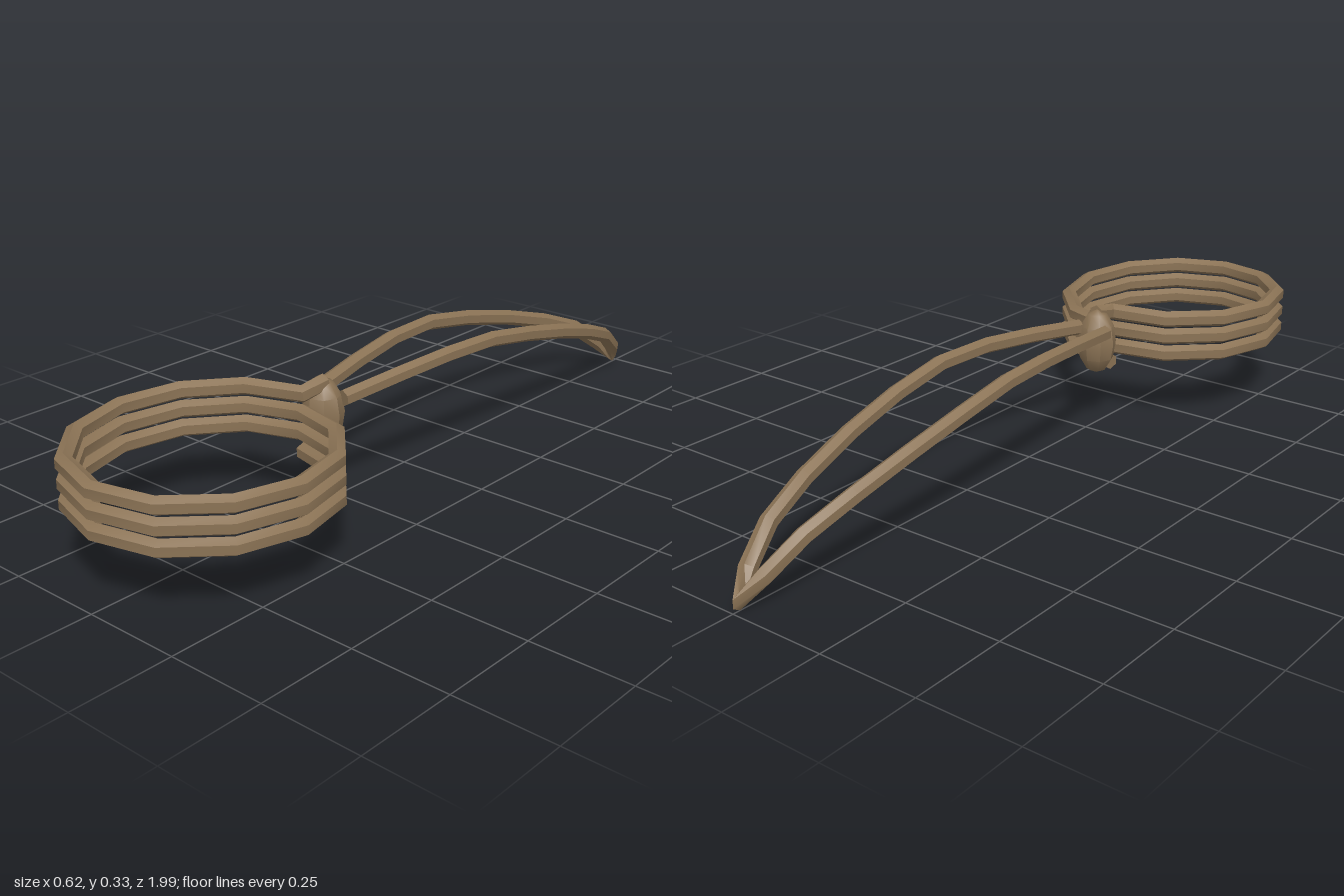
import * as THREE from 'three';
import { toCreasedNormals } from 'three/addons/utils/BufferGeometryUtils.js';

const SIDES = 6;

// Six-sided rope swept along straight segments between points, capped at both ends
function ropeGeometry(points, radius) {
  const pos = [], index = [];
  const up = new THREE.Vector3(0, 1, 0);
  const last = points.length - 1;
  points.forEach((p, i) => {
    const before = p.clone().sub(points[Math.max(i - 1, 0)]).normalize();
    const after = points[Math.min(i + 1, last)].clone().sub(p).normalize();
    const tangent = before.add(after).normalize();
    const side = tangent.clone().cross(up).normalize();
    const rise = side.clone().cross(tangent).normalize();
    for (let k = 0; k < SIDES; k++) {
      const a = Math.PI / 6 + (k / SIDES) * Math.PI * 2;
      const v = p.clone()
        .addScaledVector(side, Math.cos(a) * radius)
        .addScaledVector(rise, Math.sin(a) * radius);
      pos.push(v.x, v.y, v.z);
    }
  });
  for (let i = 0; i < last; i++) {
    for (let k = 0; k < SIDES; k++) {
      const n = (k + 1) % SIDES;
      const a = i * SIDES + k, b = i * SIDES + n;
      const c = b + SIDES, d = a + SIDES;
      index.push(a, d, c, a, c, b);
    }
  }
  const e = last * SIDES;
  for (let k = 1; k < SIDES - 1; k++) {
    index.push(0, k, k + 1, e, e + k + 1, e + k);
  }
  const g = new THREE.BufferGeometry();
  g.setAttribute('position', new THREE.Float32BufferAttribute(pos, 3));
  g.setIndex(index);
  return toCreasedNormals(g, 0.72);
}

export function createModel() {
  const group = new THREE.Group();
  const rope = new THREE.MeshStandardMaterial({ color: 0x8b7355 });
  rope.name = 'ropeBrown';

  const add = (name, geometry) => {
    const mesh = new THREE.Mesh(geometry, rope);
    mesh.name = name;
    group.add(mesh);
    return mesh;
  };

  // Three descending turns, starting inside the knot at the back
  const turns = 3, perTurn = 12;
  const coil = [new THREE.Vector3(0.005, 0.311, 0.295)];
  for (let i = 0; i <= turns * perTurn; i++) {
    const a = (i / perTurn) * Math.PI * 2;
    coil.push(new THREE.Vector3(
      -Math.sin(a) * 0.289,
      0.3 - (i / (turns * perTurn)) * 0.143,
      0.667 - Math.cos(a) * 0.304
    ));
  }
  add('coil', ropeGeometry(coil, 0.022));

  // Long drooping loop, one half mirrored to the other
  const half = [
    [0.042, 0.272, 0.27], [0.07, 0.29, 0.1], [0.092, 0.302, -0.06],
    [0.103, 0.3, -0.22], [0.102, 0.272, -0.38], [0.092, 0.232, -0.55],
    [0.075, 0.185, -0.71], [0.053, 0.135, -0.84], [0.026, 0.07, -0.93]
  ].map(([x, y, z]) => new THREE.Vector3(x, y, z));
  const mirrored = half.map(p => new THREE.Vector3(-p.x, p.y, p.z)).reverse();
  const tip = new THREE.Vector3(0, 0.023, -0.98);
  add('loop', ropeGeometry([...half, tip, ...mirrored], 0.021));

  // Knot binding the coil to the loop
  const knot = add('knot', toCreasedNormals(new THREE.SphereGeometry(1, 8, 6), 0.72));
  knot.scale.set(0.053, 0.088, 0.05);
  knot.position.set(0, 0.235, 0.295);

  return group;
}
